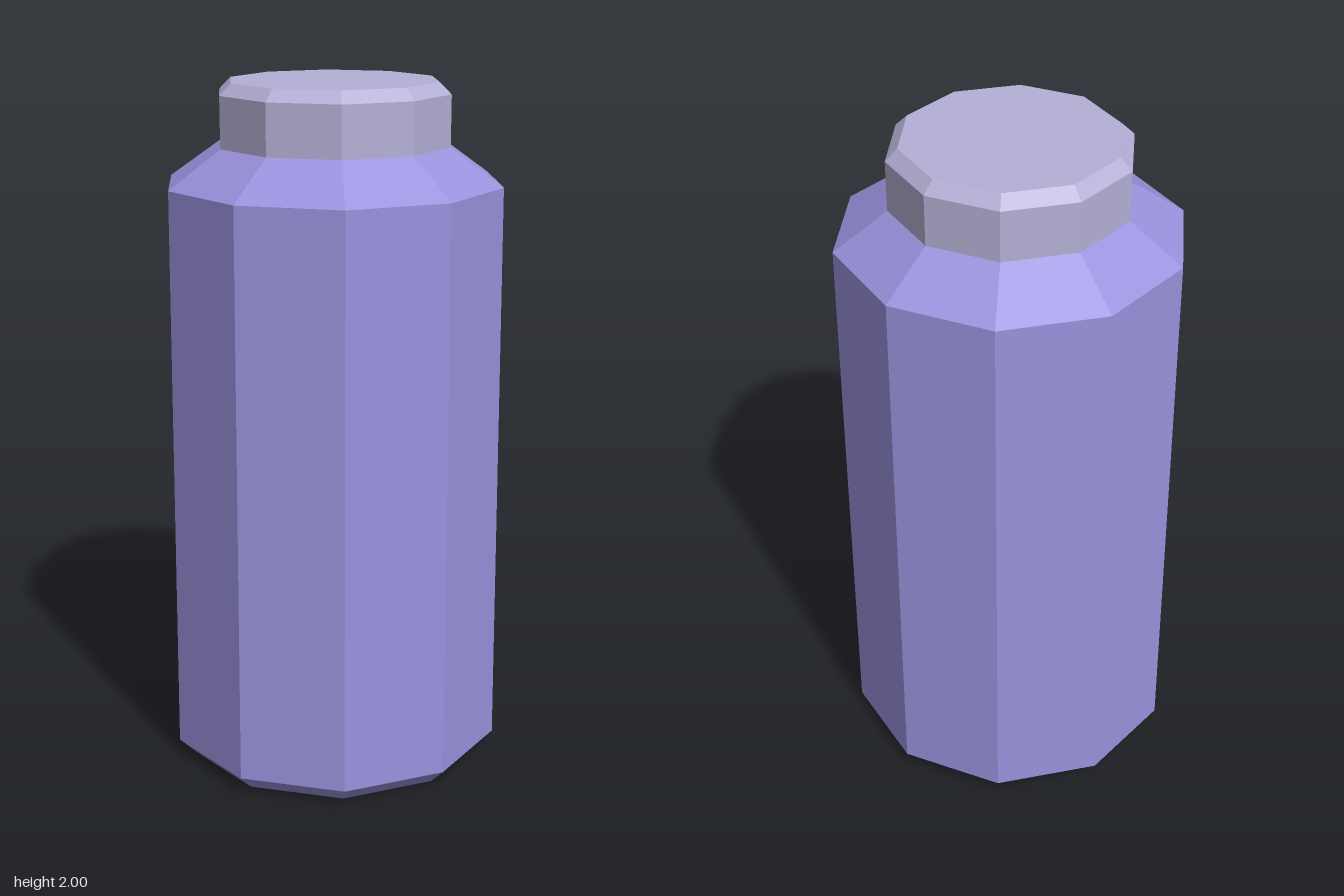
import * as THREE from 'three';

const SIDES = 10;

// Faceted solid of revolution with a corner pointing along +x; profile runs bottom to top
function facetedLathe(name, profile, material) {
  const points = profile.map(([r, y]) => new THREE.Vector2(r, y));
  const geometry = new THREE.LatheGeometry(points, SIDES, Math.PI / 2).toNonIndexed();
  geometry.computeVertexNormals();
  const mesh = new THREE.Mesh(geometry, material);
  mesh.name = name;
  return mesh;
}

export function createModel() {
  const bodyPurple = new THREE.MeshStandardMaterial({ color: 0x9a93de });
  bodyPurple.name = 'bodyPurple';
  const capLilac = new THREE.MeshStandardMaterial({ color: 0xb5b0d6 });
  capLilac.name = 'capLilac';

  const group = new THREE.Group();
  group.name = 'bottle';

  // Body: bevelled base, slightly tapering wall, sloped shoulder
  group.add(facetedLathe('body', [
    [0, 0], [0.45, 0], [0.5, 0.05], [0.488, 1.715], [0.336, 1.822],
  ], bodyPurple));

  // Cap: short wall, bevelled rim, flat top
  group.add(facetedLathe('cap', [
    [0.336, 1.822], [0.336, 1.967], [0.302, 2], [0, 2],
  ], capLilac));

  return group;
}
